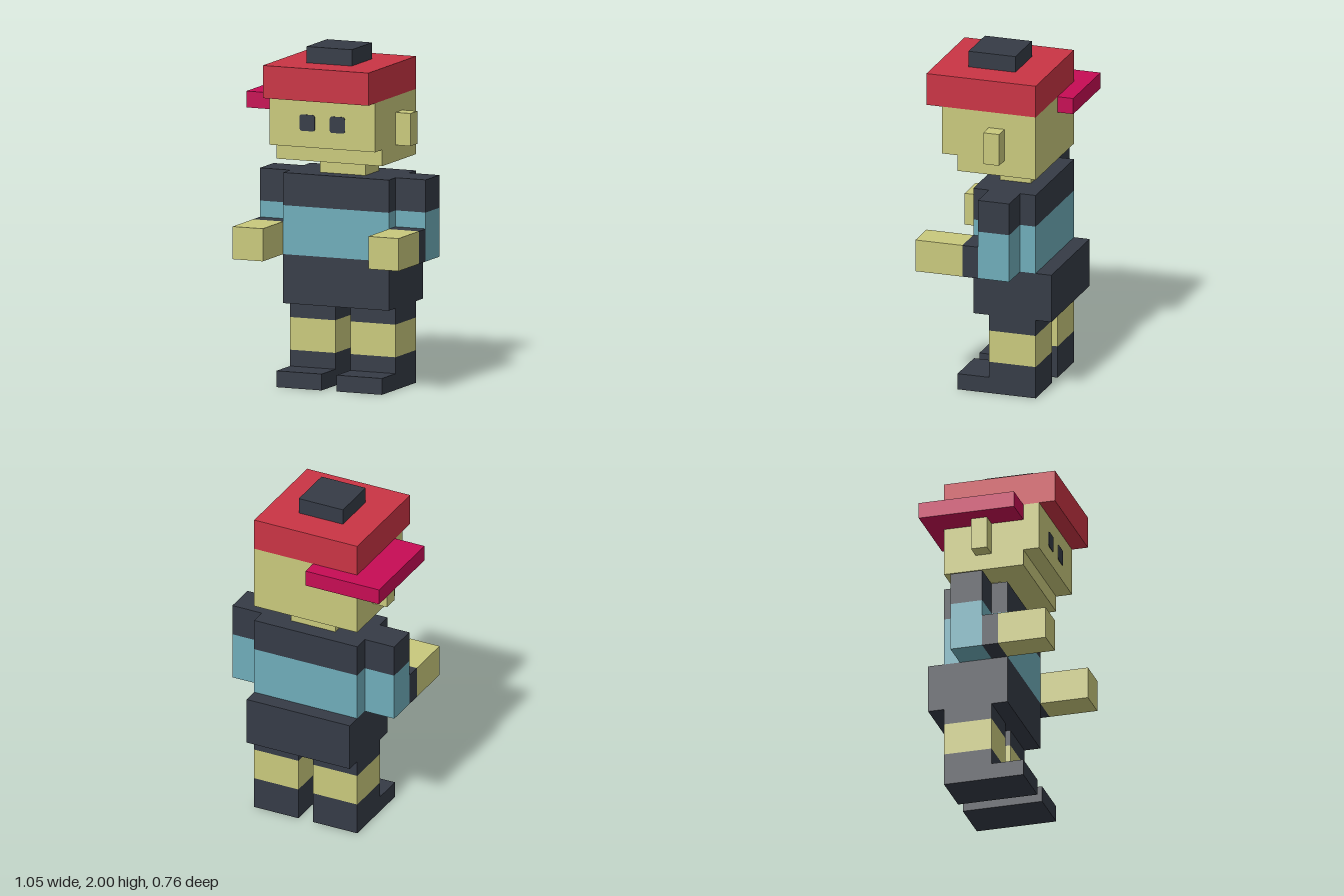
import * as THREE from 'three';

const U = 2 / 21; // one block

const mat = (name, color) => {
  const m = new THREE.MeshStandardMaterial({ color });
  m.name = name;
  return m;
};

export function createModel() {
  const dark = mat('charcoal', 0x353b46);
  const skin = mat('skin', 0xc8c87c);
  const teal = mat('teal', 0x6eacb9);
  const red = mat('red', 0xc93444);
  const pink = mat('magenta', 0xc60c54);

  const model = new THREE.Group();
  model.name = 'blockFigure';

  // Box between two corners, measured in blocks
  const block = (name, material, [x0, x1], [y0, y1], [z0, z1]) => {
    const geo = new THREE.BoxGeometry((x1 - x0) * U, (y1 - y0) * U, (z1 - z0) * U);
    const mesh = new THREE.Mesh(geo, material);
    mesh.position.set((x0 + x1) / 2 * U, (y0 + y1) / 2 * U, (z0 + z1) / 2 * U);
    mesh.name = name;
    model.add(mesh);
  };

  // The same box on both sides
  const pair = (name, material, [x0, x1], y, z) => {
    block(name + 'Left', material, [x0, x1], y, z);
    block(name + 'Right', material, [-x1, -x0], y, z);
  };

  // Legs
  const leg = [0.5, 3.5];
  pair('shoeSole', dark, leg, [0, 1], [-3, 2]);
  pair('shoeAnkle', dark, leg, [1, 2], [-3, 0]);
  pair('shin', skin, leg, [2, 4], [-3, 0]);
  pair('trouserLeg', dark, leg, [4, 5], [-3, 0]);

  // Body
  const body = [-3.5, 3.5];
  block('hips', dark, body, [5, 8], [-4, 1]);
  block('shirt', teal, body, [8, 11], [-3, 1]);
  block('chest', dark, body, [11, 13], [-3, 1]);

  // Arms
  const arm = [3.5, 5.5];
  pair('shoulder', dark, arm, [11, 13], [-2, 0]);
  pair('sleeve', teal, arm, [8, 11], [-2, 0]);
  pair('cuff', dark, arm, [8, 10], [0, 1]);
  pair('hand', skin, arm, [8, 10], [1, 4]);

  // Head
  block('neck', skin, [-1.5, 1.5], [13, 14], [-2, 0]);
  block('jaw', skin, body, [14, 15], [-3, 2]);
  block('head', skin, body, [15, 18], [-3, 3]);
  pair('ear', skin, [3.5, 4.5], [15, 17], [-1, 0]);

  // Eyes: thin plates with slightly rounded corners
  const h = 0.5 * U, r = 0.014;
  const eye = new THREE.Shape();
  eye.moveTo(-h + r, -h);
  eye.absarc(h - r, -h + r, r, -Math.PI / 2, 0);
  eye.absarc(h - r, h - r, r, 0, Math.PI / 2);
  eye.absarc(-h + r, h - r, r, Math.PI / 2, Math.PI);
  eye.absarc(-h + r, -h + r, r, Math.PI, Math.PI * 1.5);
  const eyeGeo = new THREE.ExtrudeGeometry(eye, { depth: 0.003, bevelEnabled: false, curveSegments: 4 });
  for (const side of [-1, 1]) {
    const mesh = new THREE.Mesh(eyeGeo, dark);
    mesh.position.set(side * U, 16.5 * U, 3 * U);
    mesh.name = side > 0 ? 'eyeLeft' : 'eyeRight';
    model.add(mesh);
  }

  // Cap with its brim turned to the back right corner
  block('cap', red, body, [18, 20], [-3, 4]);
  block('capButton', dark, [-1.5, 1.5], [20, 21], [-1, 2]);
  block('brimSide', pink, [-5.5, -3.5], [17, 18], [-4, 2]);
  block('brimBack', pink, [-3.5, -0.5], [17, 18], [-4, -3]);

  return model;
}
